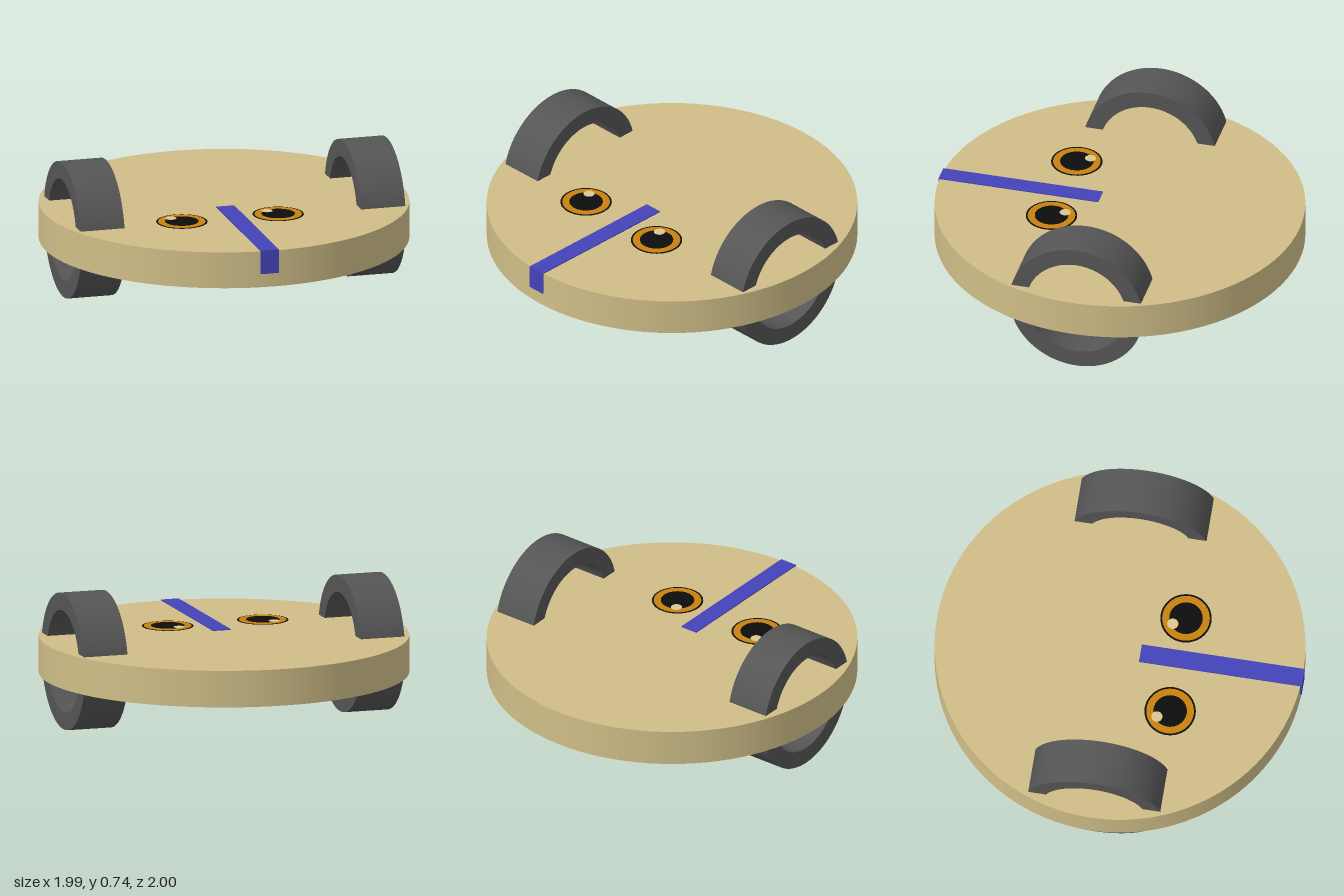
import * as THREE from 'three';

const paint = (name, color) => {
  const m = new THREE.MeshStandardMaterial({ color });
  m.name = name;
  return m;
};

export function createModel() {
  const tan = paint('tan', 0xd0be88);
  const grey = paint('dark grey', 0x555555);
  const blue = paint('blue', 0x4343b8);
  const orange = paint('orange', 0xc8820f);
  const black = paint('black', 0x0c0c0c);
  const cream = paint('cream', 0xdac890);

  const model = new THREE.Group();
  model.name = 'wheeledDisc';
  const add = (name, geometry, material, x, y, z, parent = model) => {
    const mesh = new THREE.Mesh(geometry, material);
    mesh.name = name;
    mesh.position.set(x, y, z);
    parent.add(mesh);
    return mesh;
  };

  // Round body
  const top = 0.46;
  add('body', new THREE.CylinderGeometry(0.995, 0.995, 0.2, 96), tan, -0.003, top - 0.1, -0.005);

  // Hollow wheels, extruded rings with their axis along x
  const ring = new THREE.Shape().absarc(0, 0, 0.37, 0, Math.PI * 2);
  ring.holes.push(new THREE.Path().absarc(0, 0, 0.277, 0, Math.PI * 2, true));
  const wheel = new THREE.ExtrudeGeometry(ring, { depth: 0.245, bevelEnabled: false, curveSegments: 64 });
  wheel.translate(0, 0, -0.1225).rotateY(Math.PI / 2);
  // Smooth normals on the curved walls, flat ones on the sides
  const p = wheel.attributes.position, n = wheel.attributes.normal;
  for (let i = 0; i < p.count; i++) {
    if (Math.abs(n.getX(i)) > 0.5) continue;
    const r = Math.hypot(p.getY(i), p.getZ(i)) * (Math.hypot(p.getY(i), p.getZ(i)) > 0.32 ? 1 : -1);
    n.setXYZ(i, 0, p.getY(i) / r, p.getZ(i) / r);
  }
  add('leftWheel', wheel, grey, 0.783, 0.37, 0);
  add('rightWheel', wheel, grey, -0.783, 0.37, 0);

  // Stripe let into the top and folding over the front rim
  add('stripe', new THREE.BoxGeometry(0.1, 0.13, 0.885), blue, -0.029, 0.4, 0.5525);

  // Eyes: stacked thin discs
  const layers = [
    ['outline', 0.138, black, 0, 0],
    ['iris', 0.128, orange, 0, 0],
    ['pupil', 0.09, black, 0, 0],
    ['glint', 0.03, cream, -0.043, -0.065],
  ];
  for (const [name, x] of [['leftEye', 0.207], ['rightEye', -0.33]]) {
    const eye = new THREE.Group();
    eye.name = name;
    eye.position.set(x, top, 0.32);
    layers.forEach(([part, r, material, dx, dz], i) => {
      const h = 0.0012 * (i + 1);
      add(part, new THREE.CylinderGeometry(r, r, h, 40), material, dx, h / 2, dz, eye);
    });
    model.add(eye);
  }
  return model;
}
